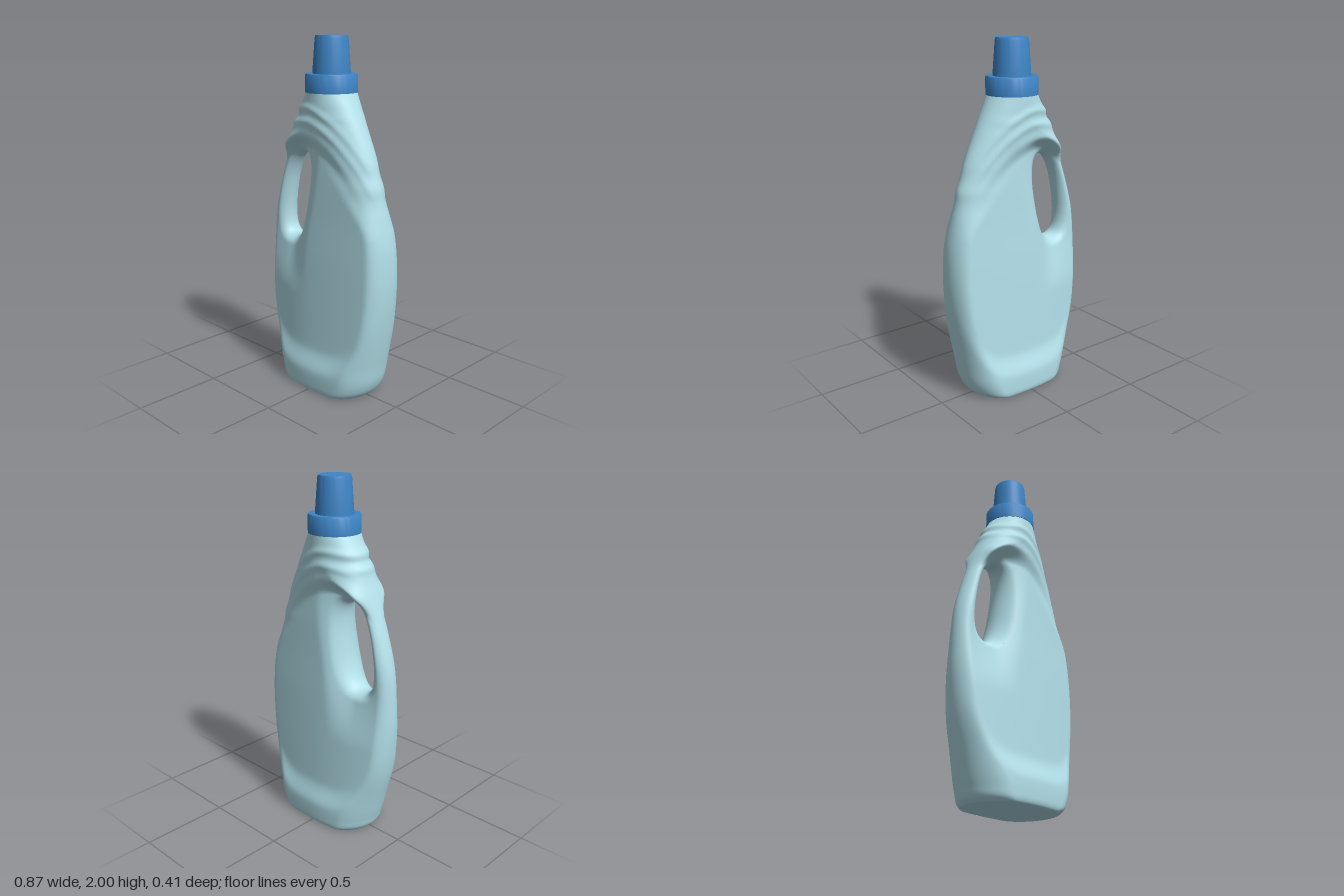
import * as THREE from 'three';
import { mergeVertices, toCreasedNormals } from 'three/addons/utils/BufferGeometryUtils.js';

const { smoothstep, lerp } = THREE.MathUtils;

// Smooth profile through [y, value] points
function profile(points) {
  const f = new THREE.CubicInterpolant(points.map(p => p[0]), points.map(p => p[1]), 1);
  return y => f.evaluate(y)[0];
}

// Side outlines of the bottle
const rightEdge = profile([[0, 0.28], [0.02, 0.305], [0.07, 0.335], [0.2, 0.366], [0.4, 0.405], [0.6, 0.43],
  [0.75, 0.435], [0.9, 0.425], [1.05, 0.395], [1.15, 0.37], [1.21, 0.36], [1.27, 0.337], [1.35, 0.312],
  [1.5, 0.243], [1.6, 0.193], [1.7, 0.14]]);
const leftEdge = profile([[0, -0.28], [0.02, -0.3], [0.07, -0.318], [0.2, -0.355], [0.4, -0.408], [0.6, -0.433],
  [0.75, -0.437], [1.0, -0.42], [1.2, -0.365], [1.4, -0.288], [1.5, -0.247], [1.54, -0.238], [1.57, -0.212],
  [1.61, -0.203], [1.64, -0.178], [1.7, -0.14]]);
// Half depths: outer shell and recessed side panel
const shellDepth = profile([[0, 0.2], [0.12, 0.203], [0.3, 0.18], [0.6, 0.16], [1.0, 0.135], [1.3, 0.137],
  [1.55, 0.145], [1.7, 0.14]]);
const panelDepth = profile([[0, 0.18], [0.25, 0.166], [0.5, 0.157], [0.8, 0.145], [1.0, 0.134], [1.2, 0.126],
  [1.45, 0.115], [1.7, 0.115]]);

// Slanted handle opening
const HOLE = { y: 1.107, w: 0.097, h: 0.248, p: 2.4 };
const HOLE_LOW = HOLE.y - HOLE.h, HOLE_HIGH = HOLE.y + HOLE.h, NECK = 1.71;
const holeCentre = y => -0.213 + 0.17 * (y - HOLE.y);
const holeHalf = y => HOLE.w * Math.pow(Math.max(0, 1 - Math.pow(Math.abs(y - HOLE.y) / HOLE.h, HOLE.p)), 1 / HOLE.p);
const holeField = (x, y) => Math.pow(Math.pow(Math.abs(x - holeCentre(y)) / HOLE.w, HOLE.p)
  + Math.pow(Math.abs(y - HOLE.y) / HOLE.h, HOLE.p), 1 / HOLE.p);
function holeDistance(x, y) {
  const e = 1e-4;
  const gx = (holeField(x + e, y) - holeField(x - e, y)) / (2 * e);
  const gy = (holeField(x, y + e) - holeField(x, y - e)) / (2 * e);
  return (holeField(x, y) - 1) / Math.max(1, Math.hypot(gx, gy));
}

// Quarter-round edge falloff
function roundOff(d, r) {
  const t = Math.min(1, Math.max(0, d / r));
  return Math.sqrt(1 - (1 - t) * (1 - t));
}
const bump = (v, width) => Math.exp(-(v * v) / (width * width));

// Half depth of the bottle at a point of its side view
function depth(x, y) {
  const xl = leftEdge(y), xr = rightEdge(y), half = (xr - xl) / 2;
  const s = y - (1.435 - 2 * (x + 0.08) ** 2); // height above the shoulder arc
  const shoulder = smoothstep(s, -0.05, 0.045);

  // Panel recess above the curved foot
  const foot = 0.13 + 0.17 * (x / 0.35) ** 4;
  const inPanel = smoothstep(y, foot - 0.01, foot + 0.13) * (1 - shoulder);
  let z = lerp(shellDepth(y), panelDepth(y), inPanel);

  // Body thins toward both ends
  const thin = x < 0 ? 0.42 : 0.21;
  z *= 1 - thin * (x / 0.42) ** 2 * (1 - smoothstep(y, 1.1, 1.5));

  // Valley around the grip
  const ridge = lerp(-0.06, 0.03, smoothstep(y, 0.75, 1.35));
  const grip = (1 - smoothstep(x, ridge - 0.19, ridge)) * smoothstep(y, 0.55, 0.95) * (1 - shoulder);
  z = lerp(z, 0.068, grip);

  // Two raised shoulder ribs
  const fade = 1 - smoothstep(y, 1.62, 1.7);
  z += fade * (0.008 * bump(s - 0.115, 0.022) + 0.007 * bump(s - 0.19, 0.02));

  // Rounded rims
  const low = 1 - smoothstep(y, 0.05, 0.5);
  const rr = lerp(lerp(0.065, 0.13, low), half, smoothstep(y, 0.95, 1.45));
  const rl = lerp(lerp(0.055, 0.13, low), half, smoothstep(y, 1.38, 1.6));
  z *= roundOff(x - xl, rl) * roundOff(xr - x, rr) * roundOff(holeDistance(x, y), 0.05);
  z *= 0.93 + 0.07 * roundOff(y, 0.035);
  return z < 1e-3 ? 0 : z;
}

// Values from a to b, packed closely at both ends
const packed = (a, b, n) => Array.from({ length: n + 1 }, (_, i) => lerp(a, b, 0.5 - 0.5 * Math.cos(Math.PI * i / n)));

// Line dividing the bottle into two strips, passing through the opening
function seam(y) {
  if (y < HOLE_LOW) return lerp(-0.08, holeCentre(HOLE_LOW), smoothstep(y, 0, HOLE_LOW));
  if (y > HOLE_HIGH) return lerp(holeCentre(HOLE_HIGH), 0, (y - HOLE_HIGH) / (NECK - HOLE_HIGH));
  return holeCentre(y);
}

function geometryFrom(positions, indices) {
  const g = new THREE.BufferGeometry();
  g.setAttribute('position', new THREE.Float32BufferAttribute(positions, 3));
  g.setIndex(indices);
  return g;
}

// Front and mirrored back skins, each in two strips that part at the opening
function bottleGeometry() {
  const rows = [...packed(0, HOLE_LOW, 60), ...packed(HOLE_LOW, HOLE_HIGH, 70).slice(1),
    ...packed(HOLE_HIGH, NECK, 56).slice(1)];
  const cols = 40, pos = [], idx = [];
  for (const side of [1, -1]) {
    for (const strip of [0, 1]) {
      const start = pos.length / 3;
      rows.forEach((y, i) => {
        const w = holeHalf(y), m = seam(y);
        const xs = strip ? packed(m + w, rightEdge(y), cols) : packed(leftEdge(y), m - w, cols);
        xs.forEach((x, j) => {
          pos.push(x, y, side * depth(x, y));
          if (!i || !j) return;
          const d = start + i * (cols + 1) + j, c = d - 1, b = d - cols - 1, a = b - 1;
          if (side > 0) idx.push(a, b, d, a, d, c);
          else idx.push(a, d, b, a, c, d);
        });
      });
    }
  }
  const g = mergeVertices(geometryFrom(pos, idx), 1e-5);
  g.computeVertexNormals();
  return g;
}

// Flat underside
function baseGeometry() {
  const pos = [], idx = [];
  packed(leftEdge(0), rightEdge(0), 60).forEach((x, j) => {
    // slight lift keeps the floor just closed against the skin
    const z = depth(x, 0);
    pos.push(x, 0, z, x, 0, -z);
    if (j) {
      const a = 2 * j - 2;
      idx.push(a, a + 1, a + 2, a + 1, a + 3, a + 2);
    }
  });
  const g = geometryFrom(pos, idx);
  g.computeVertexNormals();
  return g;
}

function lathe(points) {
  const g = new THREE.LatheGeometry(points.map(p => new THREE.Vector2(...p)), 64);
  return toCreasedNormals(g, 0.6);
}

export function createModel() {
  const model = new THREE.Group();
  const plastic = new THREE.MeshStandardMaterial({ color: 0xb3e0ea, side: THREE.DoubleSide });
  const blue = new THREE.MeshStandardMaterial({ color: 0x3d85c6 });
  const add = (name, geometry, material) => {
    const mesh = new THREE.Mesh(geometry, material);
    mesh.name = name;
    model.add(mesh);
  };

  add('bottleBody', bottleGeometry(), plastic);
  add('bottleBase', baseGeometry(), plastic);
  // Cap: wide collar and tapered measuring cup
  add('capCollar', lathe([[0, 1.7], [0.143, 1.7], [0.143, 1.792], [0.138, 1.8], [0, 1.8]]), blue);
  add('capCup', lathe([[0.105, 1.79], [0.103, 1.82], [0.091, 1.985], [0.086, 2], [0, 2]]), blue);
  return model;
}
